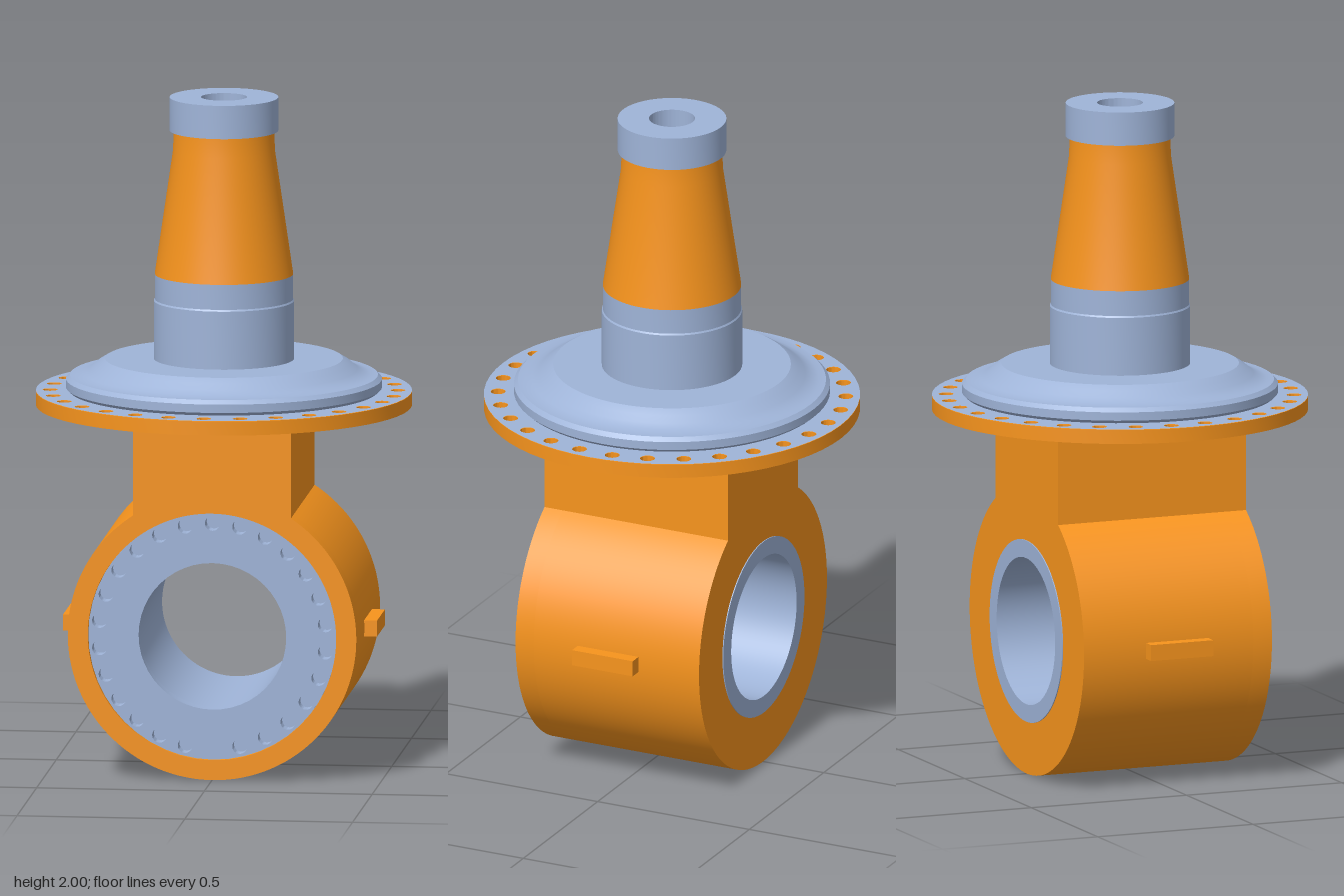
import * as THREE from 'three';
import { toCreasedNormals } from 'three/addons/utils/BufferGeometryUtils.js';

const orange = new THREE.MeshStandardMaterial({ color: 0xf7941d });
const steel = new THREE.MeshStandardMaterial({ color: 0x9fb4d8 });

const AXIS_Y = 0.43; // height of the horizontal bore

function circle(x, y, r, Type = THREE.Path) {
  const path = new Type();
  path.absarc(x, y, r, 0, Math.PI * 2, false);
  return path;
}

// Holes evenly spaced clockwise from the top, leaving out one index if asked
function boltCircle(count, radius, holeRadius, skip = -1) {
  const holes = [];
  for (let i = 0; i < count; i++) {
    if (i === skip) continue;
    const a = (i / count) * Math.PI * 2;
    holes.push(circle(Math.sin(a) * radius, Math.cos(a) * radius, holeRadius));
  }
  return holes;
}

function extrude(shape, depth, curveSegments = 40) {
  const geo = new THREE.ExtrudeGeometry(shape, { depth, bevelEnabled: false, curveSegments });
  return toCreasedNormals(geo, 0.5);
}

function lathe(points, segments = 72) {
  const geo = new THREE.LatheGeometry(points.map(([r, y]) => new THREE.Vector2(r, y)), segments);
  return toCreasedNormals(geo, 0.4);
}

export function createModel() {
  const model = new THREE.Group();
  const add = (name, geometry, material, x = 0, y = 0, z = 0) => {
    const mesh = new THREE.Mesh(geometry, material);
    mesh.name = name;
    mesh.position.set(x, y, z);
    model.add(mesh);
    return mesh;
  };

  // Housing: round barrel with a square neck, counterbored at the front
  const housingShape = (holeRadius) => {
    const neck = 0.235, r = 0.43;
    const a = Math.acos(neck / r);
    const s = new THREE.Shape();
    s.moveTo(neck, 0.65);
    s.lineTo(-neck, 0.65);
    s.absarc(0, 0, r, Math.PI - a, Math.PI * 2 + a, false);
    s.closePath();
    s.holes.push(circle(0, 0, holeRadius));
    return s;
  };
  add('housingBack', extrude(housingShape(0.272), 0.545, 64), orange, 0, AXIS_Y, -0.3);
  add('housingFront', extrude(housingShape(0.37), 0.06, 64), orange, 0, AXIS_Y, 0.245);

  // Bushing through the housing
  const bushing = circle(0, 0, 0.273, THREE.Shape);
  bushing.holes.push(circle(0, 0, 0.22));
  add('bushing', extrude(bushing, 0.58), steel, 0, AXIS_Y, -0.303);

  // Front retaining ring with blind bolt holes, the lowest one left out
  const ring = circle(0, 0, 0.37, THREE.Shape);
  ring.holes.push(circle(0, 0, 0.22), ...boltCircle(26, 0.339, 0.022, 13));
  add('retainingRing', extrude(ring, 0.045, 24), steel, 0, AXIS_Y, 0.25);
  add('boltHoleFloor', new THREE.RingGeometry(0.274, 0.37, 72), steel, 0, AXIS_Y, 0.252);

  // Side lugs
  for (const side of [-1, 1]) {
    add(side > 0 ? 'leftLug' : 'rightLug', new THREE.BoxGeometry(0.06, 0.048, 0.2),
      orange, side * 0.438, AXIS_Y, 0);
  }

  // Flange plate with through holes and a bare top face
  const plate = circle(0, 0, 0.557, THREE.Shape);
  plate.holes.push(circle(0, 0, 0.1), ...boltCircle(30, 0.515, 0.022));
  add('flangePlate', extrude(plate, 0.042, 32).rotateX(-Math.PI / 2), orange, 0, 1.077, 0);
  add('flangeTopFace', new THREE.ShapeGeometry(plate, 32).rotateX(-Math.PI / 2), steel, 0, 1.1205, 0);

  // Hub with a concave shoulder
  add('hub', lathe([
    [0.457, 1.12], [0.468, 1.13], [0.468, 1.155], [0.456, 1.167], [0.435, 1.168],
    [0.415, 1.174], [0.395, 1.185], [0.375, 1.202], [0.352, 1.216], [0.2, 1.216],
  ]), steel);

  // Spindle: cylindrical base, taper, hollow end collar
  add('spindleBase', lathe([[0.208, 1.21], [0.208, 1.39], [0.205, 1.395], [0.205, 1.47]]), steel);
  add('spindleTaper', lathe([[0.205, 1.47], [0.151, 1.84], [0.149, 1.9]]), orange);
  add('endCollar', lathe([
    [0.14, 1.9], [0.161, 1.9], [0.161, 2], [0.068, 2], [0.068, 0.68], [0, 0.68],
  ]), steel);

  return model;
}
